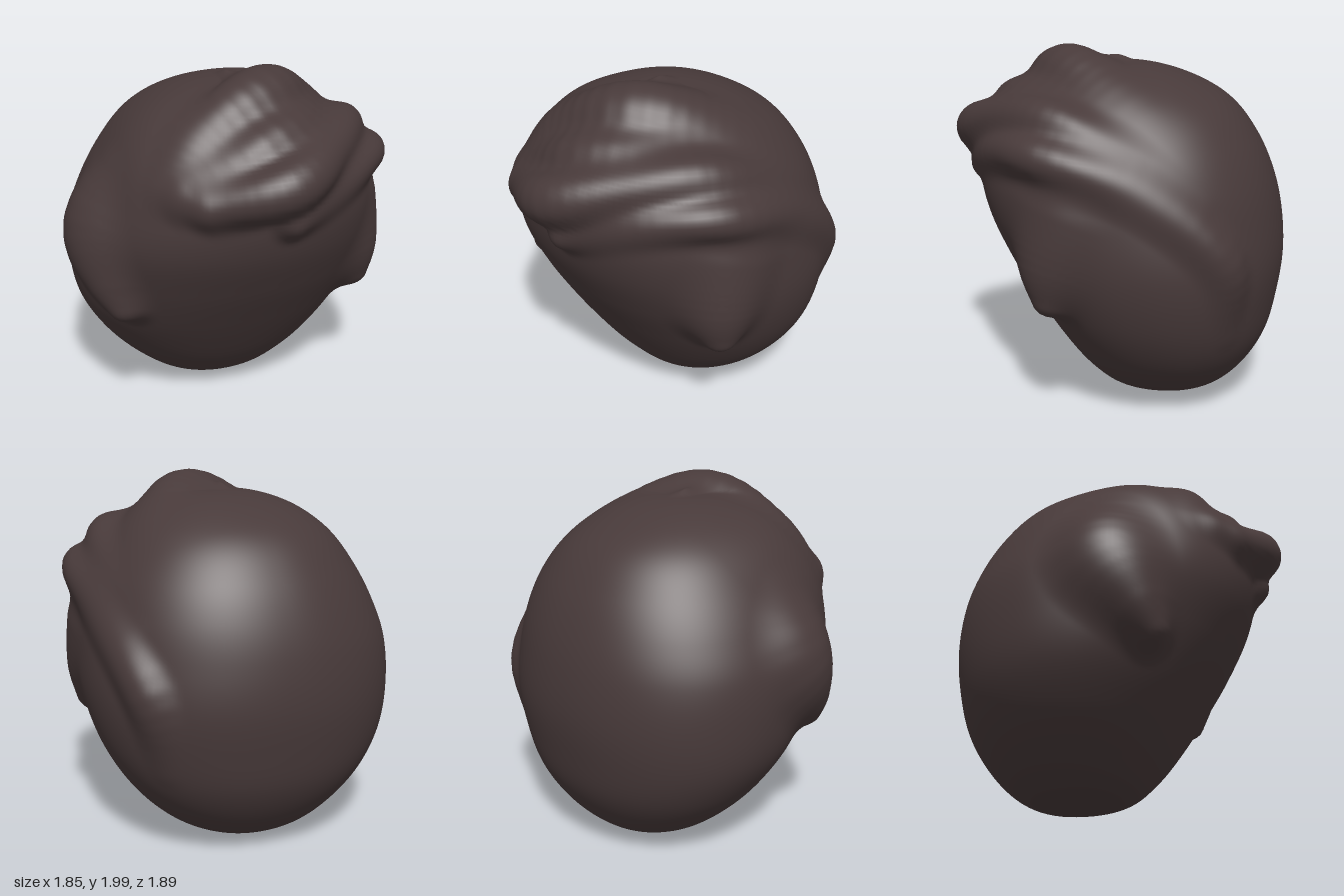
import * as THREE from 'three';
import { mergeVertices } from 'three/addons/utils/BufferGeometryUtils.js';

// Head-shaped body: height, left x, right x, back z, front z
const SECTIONS = [
  [0, 0.03, 0.03, -0.34, -0.32],
  [0.05, -0.27, 0.33, -0.57, 0.0],
  [0.2, -0.5, 0.57, -0.75, 0.18],
  [0.4, -0.68, 0.74, -0.87, 0.33],
  [0.6, -0.79, 0.84, -0.92, 0.46],
  [0.85, -0.84, 0.9, -0.95, 0.61],
  [1.1, -0.84, 0.9, -0.93, 0.73],
  [1.3, -0.78, 0.87, -0.88, 0.77],
  [1.5, -0.68, 0.79, -0.79, 0.74],
  [1.7, -0.52, 0.62, -0.63, 0.56],
  [1.82, -0.34, 0.42, -0.42, 0.38],
  [1.9, 0.03, 0.03, 0.0, 0.02],
];
const TOP = 1.9;
const angleOf = (y) => Math.acos(THREE.MathUtils.clamp(1 - (2 * y) / TOP, -1, 1));
const profile = new THREE.CubicInterpolant(
  SECTIONS.map((s) => angleOf(s[0])), SECTIONS.flatMap((s) => s.slice(1)), 4, new Float32Array(4));

// Locks and side pieces: blend width, then centre-line points as x, y, z, radius
const LOCKS = [
  // crown swell behind the first ridge
  [0.2, [[-0.2, 1.43, 0.14, 0.37], [0.2, 1.48, 0.0, 0.41]]],
  // upper lock
  [0.1, [[-0.40, 1.42, 0.46, 0.12], [-0.25, 1.62, 0.39, 0.17], [0.12, 1.78, 0.27, 0.215],
    [0.37, 1.66, -0.02, 0.19], [0.52, 1.3, -0.45, 0.12]]],
  // broad fill between the upper and middle locks
  [0.08, [[-0.38, 1.42, 0.57, 0.11], [0.08, 1.63, 0.55, 0.17], [0.4, 1.62, 0.28, 0.16], [0.6, 1.3, -0.3, 0.11]]],
  // middle lock
  [0.08, [[-0.31, 1.40, 0.68, 0.10], [0.06, 1.50, 0.80, 0.14], [0.36, 1.59, 0.59, 0.13],
    [0.62, 1.62, 0.26, 0.13], [0.68, 1.45, -0.1, 0.13], [0.62, 1.2, -0.45, 0.12]]],
  // lower lock
  [0.08, [[0.1, 1.30, 0.77, 0.08], [0.57, 1.46, 0.54, 0.09], [0.78, 1.47, 0.28, 0.11],
    [0.77, 1.28, -0.23, 0.12], [0.69, 0.93, -0.62, 0.12], [0.55, 0.55, -0.6, 0.08]]],
  // left sideburn
  [0.18, [[0.68, 1.15, 0.17, 0.17], [0.72, 0.9, 0.25, 0.145], [0.755, 0.715, 0.27, 0.07]]],
  // right sideburn and ear lump
  [0.14, [[-0.56, 1.32, 0.05, 0.17], [-0.66, 1.12, 0.04, 0.26], [-0.7, 0.88, 0.19, 0.15], [-0.68, 0.73, 0.28, 0.075]]],
];

// Split a smooth centre line into short tapered segments
function taperedSegments(points) {
  const n = (points.length - 1) * 6;
  const path = new THREE.CatmullRomCurve3(points.map((p) => new THREE.Vector3(p[0], p[1], p[2])));
  const radii = new THREE.CatmullRomCurve3(points.map((p) => new THREE.Vector3(p[3], 0, 0)), false, 'catmullrom');
  const balls = Array.from({ length: n + 1 }, (_, i) => ({ c: path.getPoint(i / n), r: radii.getPoint(i / n).x }));
  return balls.slice(1).map((b, i) => {
    const a = balls[i], d = b.c.clone().sub(a.c);
    return { x: a.c.x, y: a.c.y, z: a.c.z, r: a.r, dx: d.x, dy: d.y, dz: d.z, dr: b.r - a.r, inv: 1 / d.lengthSq() };
  });
}

function segmentDistance(s, x, y, z) {
  const px = x - s.x, py = y - s.y, pz = z - s.z;
  const h = Math.min(Math.max((px * s.dx + py * s.dy + pz * s.dz) * s.inv, 0), 1);
  const qx = px - s.dx * h, qy = py - s.dy * h, qz = pz - s.dz * h;
  return Math.sqrt(qx * qx + qy * qy + qz * qz) - s.r - s.dr * h;
}

function bodyDistance(x, y, z) {
  const beyond = Math.max(-y, y - TOP, 0);
  const [xl, xr, zb, zf] = profile.evaluate(angleOf(y));
  const rx = Math.max((xr - xl) / 2, 0.005), rz = Math.max((zf - zb) / 2, 0.005);
  const e = 2.15;
  const k = (Math.abs((x - (xl + xr) / 2) / rx) ** e + Math.abs((z - (zb + zf) / 2) / rz) ** e) ** (1 / e);
  return Math.max((k - 1) * Math.min(rx, rz), beyond > 0 ? 0.001 : -1) + beyond;
}

function smoothMin(a, b, k) {
  const h = Math.max(k - Math.abs(a - b), 0) / k;
  return Math.min(a, b) - h * h * k * 0.25;
}

export function createModel() {
  const locks = LOCKS.map(([blend, points]) => ({ blend, segments: taperedSegments(points) }));
  const distance = (x, y, z) => {
    let d = bodyDistance(x, y, z);
    for (const { blend, segments } of locks) {
      let near = Infinity;
      for (const s of segments) near = Math.min(near, segmentDistance(s, x, y, z));
      d = smoothMin(d, near, blend);
    }
    return d;
  };

  // Shrink a sphere inwards until every vertex rests on the blended shape
  let geometry = new THREE.SphereGeometry(1, 200, 140);
  geometry.deleteAttribute('uv');
  geometry.deleteAttribute('normal');
  geometry = mergeVertices(geometry, 1e-5);
  const pos = geometry.attributes.position;
  const centre = new THREE.Vector3(0.03, 1, -0.05);
  const dir = new THREE.Vector3();
  for (let i = 0; i < pos.count; i++) {
    dir.fromBufferAttribute(pos, i).normalize();
    const at = (t) => distance(centre.x + dir.x * t, centre.y + dir.y * t, centre.z + dir.z * t);
    let outer = 1.35;
    while (outer > 0.4 && at(outer - 0.03) > 0) outer -= 0.03;
    let inner = outer - 0.03;
    for (let s = 0; s < 10; s++) {
      const mid = (inner + outer) / 2;
      if (at(mid) > 0) outer = mid; else inner = mid;
    }
    pos.setXYZ(i, centre.x + dir.x * outer, centre.y + dir.y * outer, centre.z + dir.z * outer);
  }
  geometry.computeVertexNormals();

  const hair = new THREE.Mesh(geometry, new THREE.MeshStandardMaterial({ color: 0x483a3a }));
  hair.name = 'sweptHair';
  const group = new THREE.Group();
  group.name = 'hairpiece';
  group.add(hair);
  return group;
}
